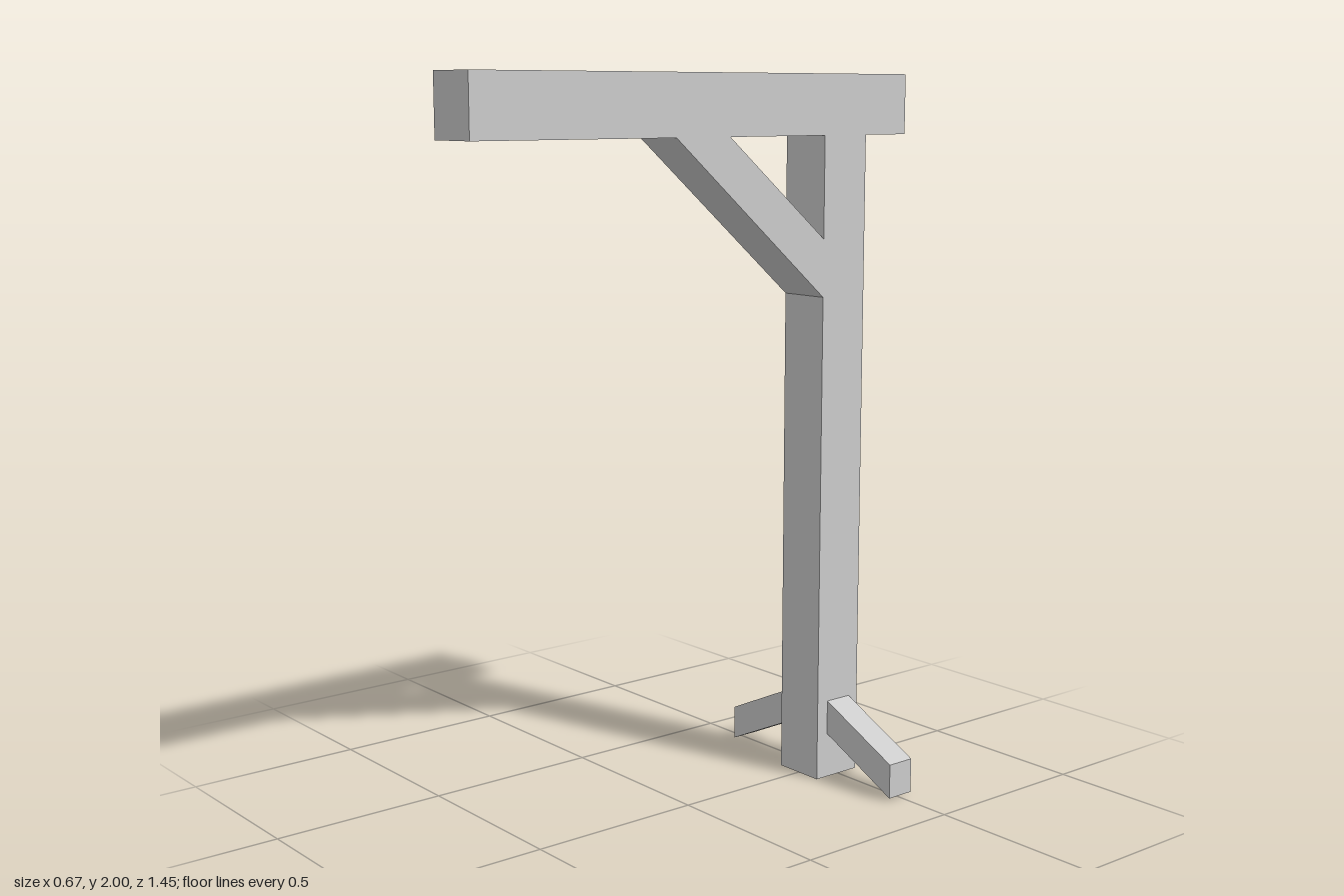
import * as THREE from 'three';

const HALF = 0.077;      // half thickness of the main timbers
const POST_Z = -0.494;   // post centre line
const BEAM_Y = 1.835;    // underside of the beam

export function createModel() {
  const group = new THREE.Group();
  const material = new THREE.MeshStandardMaterial({ color: 0xcccccc, flatShading: true });

  const add = (name, geometry, x = 0, y = 0, z = 0) => {
    const mesh = new THREE.Mesh(geometry, material);
    mesh.name = name;
    mesh.position.set(x, y, z);
    group.add(mesh);
  };

  // Flat outline extruded symmetrically about its own plane
  const plank = (points, depth) => {
    const shape = new THREE.Shape(points.map(([a, b]) => new THREE.Vector2(a, b)));
    return new THREE.ExtrudeGeometry(shape, { depth, bevelEnabled: false }).translate(0, 0, -depth / 2);
  };

  // Upright post and overhanging beam
  add('post', new THREE.BoxGeometry(HALF * 2, BEAM_Y, HALF * 2), 0, BEAM_Y / 2, POST_Z);
  add('beam', new THREE.BoxGeometry(HALF * 2, 2 - BEAM_Y, 1.445), 0, (2 + BEAM_Y) / 2, 0);

  // Diagonal brace: outline in z and y, turned so its thickness runs along x
  const front = POST_Z + HALF;
  const brace = plank([[front, 1.395], [0.1, BEAM_Y], [-0.08, BEAM_Y], [front, 1.555]], HALF * 2);
  add('brace', brace.rotateY(-Math.PI / 2));

  // Sloping feet on both sides of the post
  for (const [name, s] of [['leftFoot', 1], ['rightFoot', -1]]) {
    const outline = [[HALF, 0.13], [0.333, 0.008], [0.333, 0.106], [HALF, 0.228]];
    add(name, plank(outline.map(([x, y]) => [s * x, y]), 0.084), 0, 0, POST_Z - 0.003);
  }

  return group;
}
